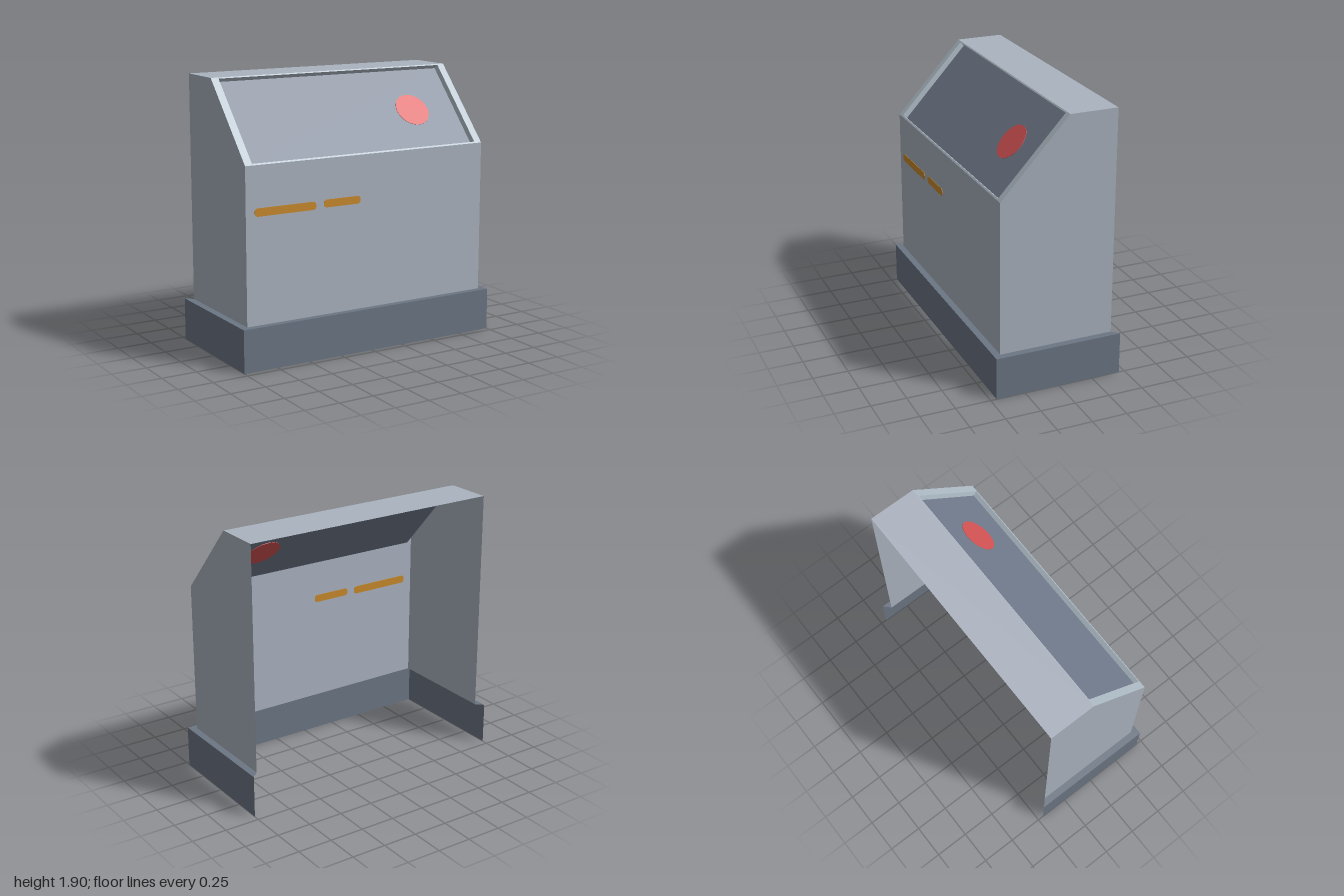
import * as THREE from 'three';

const mat = (name, color) => new THREE.MeshStandardMaterial({ name, color, side: THREE.DoubleSide });

// Flat face from corners given counter-clockwise as seen from outside
function face(...corners) {
  const g = new THREE.BufferGeometry();
  g.setAttribute('position', new THREE.Float32BufferAttribute(corners.flat(), 3));
  const index = [];
  for (let i = 1; i < corners.length - 1; i++) index.push(0, i, i + 1);
  g.setIndex(index);
  g.computeVertexNormals();
  return g;
}

function roundedBar(x0, x1, y0, y1, r) {
  const s = new THREE.Shape();
  s.absarc(x1 - r, y0 + r, r, -Math.PI / 2, 0);
  s.absarc(x1 - r, y1 - r, r, 0, Math.PI / 2);
  s.absarc(x0 + r, y1 - r, r, Math.PI / 2, Math.PI);
  s.absarc(x0 + r, y0 + r, r, Math.PI, Math.PI * 1.5);
  return s;
}

export function createModel() {
  const model = new THREE.Group();
  model.name = 'openConsole';
  const bodyGrey = mat('bodyGrey', 0xabb3c0);
  const frameGrey = mat('frameGrey', 0xb3c0cb);
  const baseGrey = mat('baseGrey', 0x6c7684);
  const panelBlue = mat('panelBlue', 0x747e90);
  const red = mat('red', 0xd95656);
  const orange = mat('orange', 0xc88a2c);

  const add = (name, geometry, material, parent = model) => {
    const m = new THREE.Mesh(geometry, material);
    m.name = name;
    parent.add(m);
    return m;
  };
  // Painted plate lying in a wall and showing on both sides of it
  const plate = (name, shape, material, z, parent) => {
    const g = new THREE.ExtrudeGeometry(shape, { depth: 0.006, bevelEnabled: false, curveSegments: 16 });
    add(name, g.translate(0, 0, z - 0.003), material, parent);
  };

  const W = 0.95, D = 0.41;            // body half width and half depth
  const BW = 1, BD = 0.457;            // base half width and half depth
  const y0 = 0.3, yF = 1.38, yT = 1.905, zT = -0.07;

  // Base skirt, open at the back, with a mitred ledge
  add('baseFront', face([-BW, 0, BD], [BW, 0, BD], [BW, y0, BD], [-BW, y0, BD]), baseGrey);
  add('baseLedgeFront', face([-BW, y0, BD], [BW, y0, BD], [W, y0, D], [-W, y0, D]), baseGrey);
  add('baseLeft', face([BW, 0, BD], [BW, 0, -BD], [BW, y0, -BD], [BW, y0, BD]), baseGrey);
  add('baseRight', face([-BW, 0, -BD], [-BW, 0, BD], [-BW, y0, BD], [-BW, y0, -BD]), baseGrey);
  add('baseLedgeLeft', face([BW, y0, BD], [BW, y0, -BD], [W, y0, -D], [W, y0, D]), baseGrey);
  add('baseLedgeRight', face([-BW, y0, -BD], [-BW, y0, BD], [-W, y0, D], [-W, y0, -D]), baseGrey);

  // Body shell, open at the back and bottom
  add('bodyFront', face([-W, y0, D], [W, y0, D], [W, yF, D], [-W, yF, D]), bodyGrey);
  add('bodyTop', face([-W, yT, zT], [W, yT, zT], [W, yT, -D], [-W, yT, -D]), bodyGrey);
  const profile = [[y0, D], [y0, -D], [yT, -D], [yT, zT], [yF, D]];
  add('bodyLeft', face(...profile.map(([y, z]) => [W, y, z])), bodyGrey);
  add('bodyRight', face(...profile.map(([y, z]) => [-W, y, z]).reverse()), bodyGrey);

  // Orange bars on the front
  plate('longBar', roundedBar(-0.885, -0.42, 1.038, 1.094, 0.024), orange, D);
  plate('shortBar', roundedBar(-0.36, -0.07, 1.044, 1.098, 0.024), orange, D);

  // Sloping display: local y runs up the slope, local z points out of it
  const slope = new THREE.Group();
  slope.name = 'display';
  slope.position.set(0, yF, D);
  slope.rotation.x = -Math.atan2(D - zT, yT - yF);
  model.add(slope);
  const L = Math.hypot(D - zT, yT - yF), depth = 0.036;
  const rect = (w, a, b) => [[-w, a], [w, a], [w, b], [-w, b]];
  const outer = rect(W, 0, L), inner = rect(0.895, 0.013, L - 0.01), floor = rect(0.888, 0.014, L - 0.011);

  const frame = new THREE.Shape(outer.map(p => new THREE.Vector2(...p)));
  frame.holes.push(new THREE.Path(inner.map(p => new THREE.Vector2(...p))));
  add('displayFrame', new THREE.ShapeGeometry(frame), frameGrey, slope);

  // Recess walls between the frame and the panel
  for (let i = 0; i < 4; i++) {
    const j = (i + 1) % 4;
    add('recessWall', face([...floor[i], -depth], [...floor[j], -depth], [...inner[j], 0], [...inner[i], 0]), frameGrey, slope);
  }
  add('displayPanel', face(...floor.map(p => [...p, -depth])), panelBlue, slope);

  const disc = new THREE.Shape();
  disc.absarc(0.53, 0.351, 0.13, 0, Math.PI * 2);
  plate('redDisc', disc, red, -depth, slope);

  return model;
}
